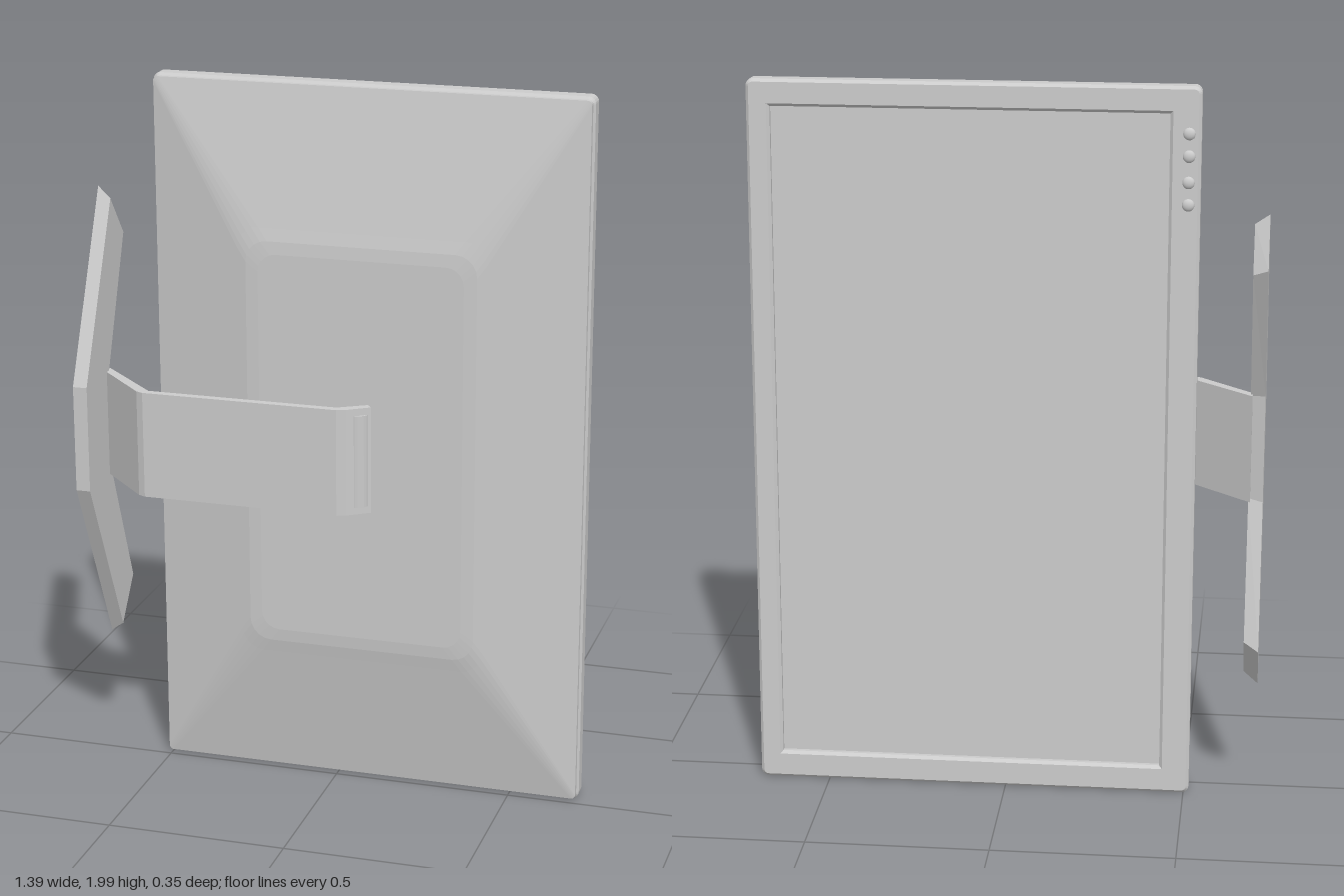
import * as THREE from 'three';

const grey = new THREE.MeshStandardMaterial({ color: 0xcccccc, flatShading: true });
const smooth = new THREE.MeshStandardMaterial({ color: 0xcccccc });

function add(parent, name, geometry, x = 0, y = 0, z = 0, material = grey) {
  const mesh = new THREE.Mesh(geometry, material);
  mesh.name = name;
  mesh.position.set(x, y, z);
  parent.add(mesh);
  return mesh;
}

const toVectors = (pts) => pts.map(([x, y]) => new THREE.Vector2(x, y));

// Rounded rectangle outline, counter-clockwise, always the same point count
function roundedRect(halfW, halfH, r, steps = 5) {
  const pts = [];
  [[1, 1], [-1, 1], [-1, -1], [1, -1]].forEach(([sx, sy], corner) => {
    for (let i = 0; i <= steps; i++) {
      const a = (corner + i / steps) * Math.PI / 2;
      pts.push([sx * (halfW - r) + r * Math.cos(a), sy * (halfH - r) + r * Math.sin(a)]);
    }
  });
  return pts;
}

// Closed solid through counter-clockwise sections [points, z], from low z to high z
function loft(sections) {
  const pos = [];
  const put = (s, i) => pos.push(...s[0][i], s[1]);
  for (let k = 0; k + 1 < sections.length; k++) {
    const a = sections[k], b = sections[k + 1], n = a[0].length;
    for (let i = 0; i < n; i++) {
      const j = (i + 1) % n;
      put(a, i); put(a, j); put(b, j);
      put(a, i); put(b, j); put(b, i);
    }
  }
  const low = sections[0], high = sections[sections.length - 1];
  for (const [a, b, c] of THREE.ShapeUtils.triangulateShape(toVectors(low[0]), [])) {
    put(low, c); put(low, b); put(low, a);
  }
  for (const [a, b, c] of THREE.ShapeUtils.triangulateShape(toVectors(high[0]), [])) {
    put(high, a); put(high, b); put(high, c);
  }
  const g = new THREE.BufferGeometry();
  g.setAttribute('position', new THREE.Float32BufferAttribute(pos, 3));
  g.computeVertexNormals();
  return g;
}

// Mirrors the upper half of the V-shaped foot, given as [z, y], into a full outline
function footOutline(half) {
  const lower = half.map(([z, y]) => [z, -y]).reverse();
  const pts = [...half, ...lower].map(([z, y]) => [-z, y]);
  return THREE.ShapeUtils.isClockWise(toVectors(pts)) ? pts.reverse() : pts;
}

export function createModel() {
  const model = new THREE.Group();
  model.name = 'monitor';

  // Everything leans slightly about the middle height
  const body = new THREE.Group();
  body.name = 'tiltedBody';
  body.position.y = 1;
  body.rotation.x = 0.015;
  model.add(body);

  const panel = new THREE.Group();
  panel.name = 'panel';
  panel.position.x = 0.09;
  body.add(panel);

  // Bezel with an off-centre screen opening
  const bevel = 0.008;
  const bezel = new THREE.Shape(toVectors(roundedRect(0.605 - bevel, 0.995 - bevel, 0.012)));
  const opening = [[-0.53, -0.925], [-0.53, 0.93], [0.55, 0.93], [0.55, -0.925]];
  bezel.holes.push(new THREE.Path(toVectors(opening)));
  add(panel, 'bezel', new THREE.ExtrudeGeometry(bezel, {
    depth: 0.052 - 2 * bevel, bevelThickness: bevel, bevelSize: bevel, bevelSegments: 1,
  }), 0, 0, -0.065 + bevel);

  add(panel, 'screen', new THREE.BoxGeometry(1.12, 1.9, 0.03), 0.01, 0, -0.03);

  // Rear shell rising to a central plateau
  add(panel, 'rearShell', loft([
    [roundedRect(0.599, 0.988, 0.012), -0.02],
    [roundedRect(0.599, 0.988, 0.012), 0],
    [roundedRect(0.345, 0.61, 0.06), 0.071],
    [roundedRect(0.32, 0.575, 0.06), 0.078],
    [roundedRect(0.285, 0.54, 0.05), 0.081],
  ]));

  // Row of control buttons on the bezel
  for (const y of [0.87, 0.81, 0.74, 0.68]) {
    const button = add(panel, 'button', new THREE.SphereGeometry(0.017, 16, 10), -0.573, y, -0.064, smooth);
    button.scale.z = 0.6;
  }

  // Bent support arm, profile in x and z swept along y
  const armProfile = [[-0.665, -0.018], [-0.49, 0.15], [0.045, 0.15], [0.12, 0.106],
    [0.133, 0.124], [0.075, 0.163], [0.05, 0.172], [-0.5, 0.172], [-0.52, 0.163], [-0.665, 0.016]];
  const armShape = new THREE.Shape(toVectors(armProfile.map(([x, z]) => [x, -z])));
  const armGeometry = new THREE.ExtrudeGeometry(armShape, { depth: 0.3, bevelEnabled: false });
  armGeometry.rotateX(-Math.PI / 2);
  add(body, 'supportArm', armGeometry, 0, -0.15, 0);

  // Hinge between arm and shell
  add(body, 'hingeBarrel', new THREE.CylinderGeometry(0.033, 0.033, 0.26, 24), 0.095, 0, 0.118);
  add(body, 'hingeMount', new THREE.BoxGeometry(0.07, 0.26, 0.035), 0.085, 0, 0.092);

  // V-shaped foot, bevelled on its inner and end edges
  const foot = add(body, 'foot', loft([
    [footOutline([[0.175, 0.15], [-0.06, 0.66], [-0.165, 0.53], [-0.015, 0.15]]), -0.7],
    [footOutline([[0.175, 0.15], [-0.046, 0.63], [-0.138, 0.512], [0.005, 0.145]]), -0.66],
  ]));
  foot.rotation.y = Math.PI / 2;

  return model;
}
